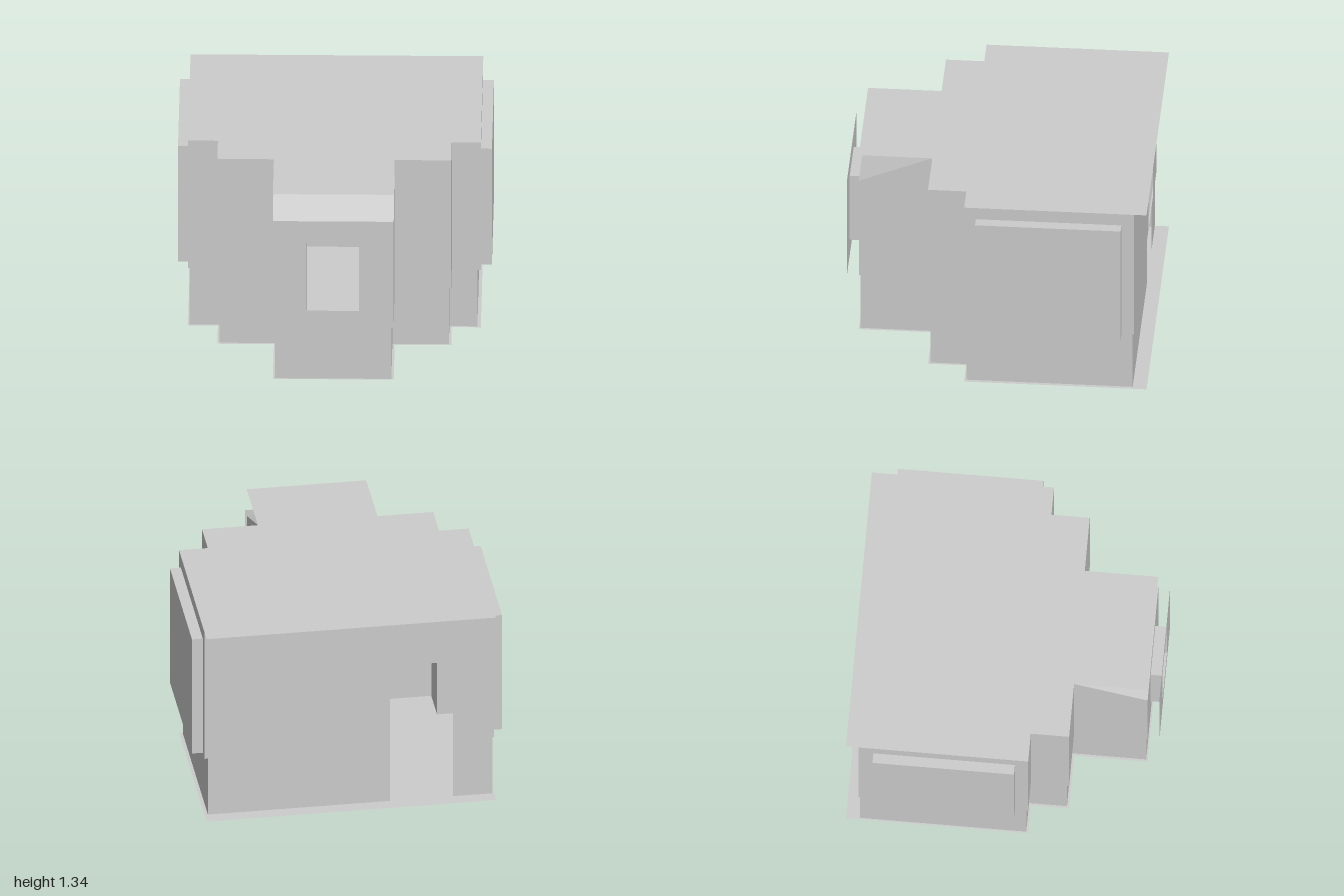
import * as THREE from 'three';

const BELT = 0.415, TOP = 1.335, BROW = 1.14;

export function createModel() {
  const model = new THREE.Group();
  const grey = new THREE.MeshStandardMaterial({ color: 0xcccccc, side: THREE.DoubleSide });
  grey.name = 'light grey';

  const add = (parent, name, geometry) => {
    const mesh = new THREE.Mesh(geometry, grey);
    mesh.name = name;
    parent.add(mesh);
    return mesh;
  };
  const group = (name) => {
    const g = new THREE.Group();
    g.name = name;
    model.add(g);
    return g;
  };
  const rectangle = (x0, x1, y0, y1) => [[x0, y0], [x1, y0], [x1, y1], [x0, y1]].map(p => new THREE.Vector2(...p));

  // Upright sheet between two plan points [x, z]; top height may differ at each end
  function wall(parent, name, a, b, base, topA, topB, hole) {
    const dx = b[0] - a[0], dz = b[1] - a[1], length = Math.hypot(dx, dz);
    const shape = new THREE.Shape([[0, base], [length, base], [length, topB], [0, topA]].map(p => new THREE.Vector2(...p)));
    if (hole) shape.holes.push(new THREE.Path(hole));
    const geometry = new THREE.ShapeGeometry(shape);
    geometry.rotateY(Math.atan2(-dz, dx));
    geometry.translate(a[0], 0, a[1]);
    add(parent, name, geometry);
  }

  // Flat horizontal sheet with a plan outline, optionally cut out
  function plate(parent, name, outline, y, cutout) {
    const points = list => list.map(p => new THREE.Vector2(p[0], -p[1]));
    const shape = new THREE.Shape(points(outline));
    if (cutout) shape.holes.push(new THREE.Path(points(cutout)));
    const geometry = new THREE.ShapeGeometry(shape);
    geometry.rotateX(-Math.PI / 2);
    geometry.translate(0, y, 0);
    add(parent, name, geometry);
  }

  // Stepped plan outline, anticlockwise from the front; sides and back are inserted between
  const plan = (nose, mid, left, right, zNose, zMid, zSide, zBack, sideR = [], back = [], sideL = []) => [
    [-nose, zNose], [nose, zNose], [nose, zMid], [mid, zMid], [mid, zSide], [right, zSide], ...sideR,
    [right, zBack], ...back, [left, zBack], ...sideL, [left, zSide], [-mid, zSide], [-mid, zMid], [-nose, zMid],
  ];

  // Upper walls: a third number raises the base of the wall starting there, leaving an opening
  const upper = plan(0.385, 0.745, -0.935, 0.93, 0.9, 0.43, 0.185, -0.9,
    [[0.93, 0.11, 1.25], [0.93, -0.82]],
    [[-0.265, -0.9, 0.99], [-0.67, -0.9]],
    [[-0.935, -0.805, 1.25], [-0.935, 0.1]]);
  const upperWalls = group('upperWalls');
  const topAt = p => (p[1] > 0.5 ? BROW : TOP);
  const WINDOW = [-0.168, 0.165, 0.535, 1.025];
  const windowHole = rectangle(WINDOW[0] + 0.385, WINDOW[1] + 0.385, WINDOW[2], WINDOW[3]);
  upper.forEach((a, i) => {
    const b = upper[(i + 1) % upper.length];
    wall(upperWalls, 'upperWall', a, b, a[2] ?? BELT, topAt(a), topAt(b), i === 0 ? windowHole : null);
  });

  // Lower walls, slightly inset, with the doorway left out
  const lower = plan(0.37, 0.73, -0.925, 0.908, 0.89, 0.415, 0.172, -0.89,
    [], [[-0.265, -0.89, BELT], [-0.67, -0.89]]);
  const lowerWalls = group('lowerWalls');
  lower.forEach((a, i) => {
    if (a[2] === undefined) wall(lowerWalls, 'lowerWall', a, lower[(i + 1) % lower.length], 0, BELT, BELT);
  });
  // Narrow ledge where the upper walls overhang
  plate(model, 'ledge', upper, BELT, lower);

  // Roof and floor sheets, reaching past the back wall
  const slab = plan(0.385, 0.745, -0.935, 0.93, 0.9, 0.43, 0.185, -0.98);
  plate(model, 'roof', slab, TOP);
  plate(model, 'floor', slab, 0);

  // Sloped hood over the nose
  const rise = TOP - BROW, run = 0.47;
  const hood = add(model, 'noseSlope', new THREE.PlaneGeometry(0.77, Math.hypot(rise, run)));
  hood.rotation.x = -Math.atan2(run, rise);
  hood.position.set(0, (TOP + BROW) / 2, 0.665);

  // Shallow side bays, open to the inside
  function bay(name, chain, y0, y1) {
    const g = group(name);
    for (let i = 0; i < 3; i++) wall(g, 'bayWall', chain[i], chain[i + 1], y0, y1, y1);
    plate(g, 'bayTop', chain, y1);
    plate(g, 'bayBottom', chain, y0);
  }
  bay('leftBay', [[0.93, 0.11], [1, 0.11], [1, -0.82], [0.93, -0.82]], BELT, 1.25);
  bay('rightBay', [[-0.935, -0.805], [-1, -0.805], [-1, 0.1], [-0.935, 0.1]], BELT, 1.25);

  // Front facing sheet with a window, joined to the nose wall by a reveal
  const front = group('frontWindow');
  const [x0, x1, y0, y1] = WINDOW, zIn = 0.9, zOut = 0.975;
  wall(front, 'frontSheet', [-0.385, zOut], [0.385, zOut], BELT, BROW, BROW, windowHole);
  wall(front, 'revealSide', [x0, zIn], [x0, zOut], y0, y1, y1);
  wall(front, 'revealSide', [x1, zOut], [x1, zIn], y0, y1, y1);
  for (const y of [y0, y1]) plate(front, 'revealEnd', [[x0, zIn], [x0, zOut], [x1, zOut], [x1, zIn]], y);

  return model;
}
